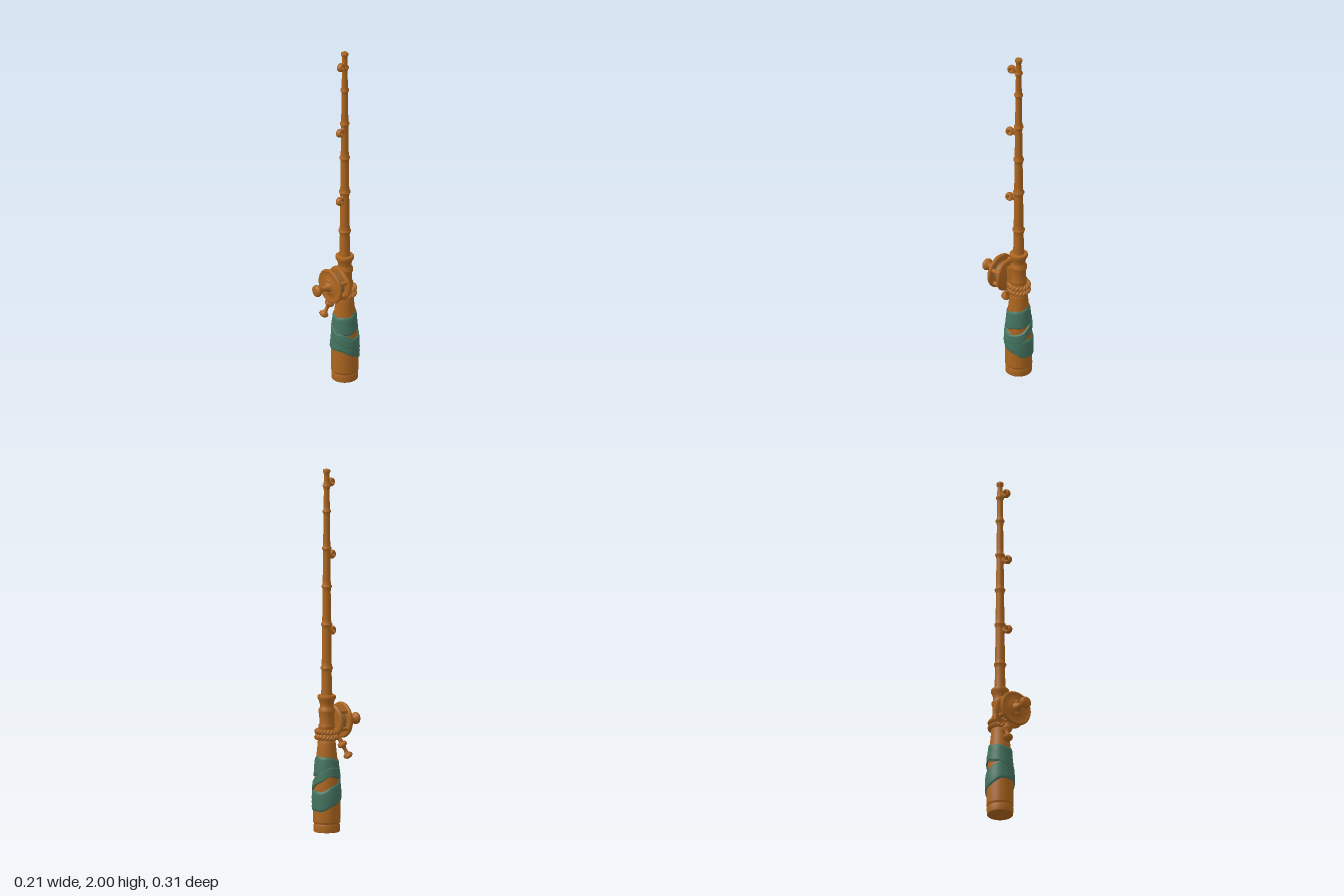
import * as THREE from 'three';

const AXIS_X = 0.008, AXIS_Z = -0.073;

export function createModel() {
  const wood = new THREE.MeshStandardMaterial({ color: 0xac651f });
  wood.name = 'warm wood';
  const cloth = new THREE.MeshStandardMaterial({ color: 0x44735f });
  cloth.name = 'green cloth';
  const line = new THREE.MeshStandardMaterial({ color: 0x8a6840 });
  line.name = 'line';

  const model = new THREE.Group();
  model.name = 'fishingRod';
  const rod = new THREE.Group();
  rod.name = 'rod';
  rod.position.set(AXIS_X, 0, AXIS_Z);
  model.add(rod);

  const add = (parent, name, geo, mat = wood, pos = [0, 0, 0]) => {
    const m = new THREE.Mesh(geo, mat);
    m.name = name;
    m.position.set(...pos);
    parent.add(m);
    return m;
  };
  const lathe = (pts, seg = 32) =>
    new THREE.LatheGeometry(pts.map(([r, y]) => new THREE.Vector2(r, y)), seg);

  // Handle: stepped butt, swelling grip, taper to the reel seat
  const grip = [[0.074, 0.06], [0.075, 0.2], [0.061, 0.38], [0.05, 0.48], [0.046, 0.55]];
  add(rod, 'handle', lathe([[0, 0], [0.069, 0], [0.072, 0.003], [0.073, 0.038], [0.069, 0.043],
    [0.069, 0.048], [0.075, 0.054], ...grip, [0, 0.55]]));
  const gripRadius = (y) => {
    for (let i = 1; i < grip.length; i++) {
      const [r0, y0] = grip[i - 1], [r1, y1] = grip[i];
      if (y <= y1) return THREE.MathUtils.lerp(r0, r1, Math.max(0, (y - y0) / (y1 - y0)));
    }
    return 0.046;
  };

  // Reel seat with collars
  add(rod, 'reelSeat', lathe([[0, 0.53], [0.043, 0.53], [0.041, 0.57], [0.046, 0.575], [0.046, 0.59],
    [0.04, 0.597], [0.041, 0.65], [0.046, 0.66], [0.046, 0.675], [0.038, 0.685], [0.037, 0.7],
    [0.043, 0.725], [0.05, 0.735], [0.05, 0.75], [0.046, 0.754], [0, 0.756]]));

  // Bamboo shaft with a raised ridge at each node
  const shaftRadius = (y) => THREE.MathUtils.lerp(0.03, 0.0155, (y - 0.75) / 1.25);
  const shaft = [[0.033, 0.74], [0.03, 0.77]];
  for (const y of [0.905, 1.145, 1.355, 1.565, 1.77, 1.91]) {
    const r = shaftRadius(y);
    shaft.push([r - 0.001, y - 0.03], [r + 0.001, y - 0.012], [r + 0.006, y - 0.005],
      [r + 0.006, y + 0.003], [r, y + 0.008], [r - 0.001, y + 0.03]);
  }
  shaft.push([0.014, 1.965], [0.015, 1.975], [0.02, 1.985], [0.02, 1.996], [0.016, 2], [0, 2]);
  add(rod, 'shaft', lathe(shaft, 20));

  // Cloth bands: rings bent to follow a wavy height and the grip's girth
  const band = (height, half, lift) => {
    const prof = [[0, -1]];
    for (let i = 0; i <= 8; i++) {
      const t = -0.92 + i * 0.23;
      prof.push([lift + (i % 2 ? 0.0015 : 0), t]);
    }
    prof.push([0, 1]);
    const geo = lathe(prof.map(([r, t]) => [1 + r, t]), 64);
    const p = geo.attributes.position;
    for (let i = 0; i < p.count; i++) {
      const a = Math.atan2(p.getX(i), p.getZ(i));
      const off = Math.hypot(p.getX(i), p.getZ(i)) - 1;
      const y = height(a) + half * p.getY(i) + 0.003 * Math.sin(5 * a);
      const r = gripRadius(y) - 0.001 + off;
      p.setXYZ(i, r * Math.sin(a), y, r * Math.cos(a));
    }
    geo.computeVertexNormals();
    return geo;
  };
  const wraps = [
    [(a) => 0.21 + 0.038 * Math.cos(a) - 0.01 * Math.sin(a), 0.056, 0.007],
    [(a) => 0.352 - 0.014 * Math.cos(a), 0.054, 0.006],
    [(a) => 0.285 - 0.05 * Math.sin(a + 0.3), 0.026, 0.0085],
  ];
  wraps.forEach(([h, half, lift], i) => add(rod, 'clothWrap' + (i + 1), band(h, half, lift), cloth));

  // Twisted rope binding under the reel seat
  class Strand extends THREE.Curve {
    constructor(y, phase) { super(); this.y = y; this.phase = phase; }
    getPoint(t, out = new THREE.Vector3()) {
      const a = t * Math.PI * 2, w = a * 9 + this.phase;
      const r = 0.054 + 0.006 * Math.cos(w);
      return out.set(r * Math.sin(a), this.y + 0.007 * Math.sin(w), r * Math.cos(a));
    }
  }
  for (const y of [0.522, 0.553])
    for (const phase of [0, Math.PI])
      add(rod, 'ropeStrand', new THREE.TubeGeometry(new Strand(y, phase), 110, 0.0085, 7, true));

  // Line guides along the front of the shaft
  for (const [y, z] of [[1.105, 0.052], [1.525, 0.05], [1.925, 0.04]]) {
    const ring = new THREE.TorusGeometry(0.0155, 0.0095, 10, 24);
    ring.scale(1, 1, 1.6);
    ring.rotateY(Math.PI / 2);
    add(rod, 'lineGuide', ring, wood, [0, y, z]);
    const foot = new THREE.SphereGeometry(0.011, 12, 8);
    foot.scale(1.1, 1.9, 1);
    add(rod, 'guideFoot', foot, wood, [0, y, shaftRadius(y) - 0.001]);
  }

  // Reel, turned toward the right; its own axis is local z
  const reel = new THREE.Group();
  reel.name = 'reel';
  reel.position.set(-0.012, 0.605, 0.042);
  reel.rotation.y = -0.37;
  model.add(reel);
  const turned = (pts, seg) => lathe(pts, seg).rotateX(Math.PI / 2);

  add(reel, 'frontPlate', turned([[0, -0.01], [0.09, -0.01], [0.097, -0.006], [0.099, 0.002],
    [0.095, 0.01], [0.084, 0.011], [0.078, 0.004], [0.05, 0.006], [0.046, 0.013], [0.03, 0.015],
    [0, 0.016]], 40));
  add(reel, 'spool', turned([[0, -0.058], [0.062, -0.055], [0.058, -0.04], [0.058, -0.02],
    [0.062, -0.008], [0, -0.008]]), line);
  const back = turned([[0, -0.072], [0.084, -0.072], [0.094, -0.068], [0.098, -0.06],
    [0.093, -0.051], [0.08, -0.05], [0, -0.052]], 40);
  // Gentle warp of the hand-carved back plate
  const bp = back.attributes.position;
  for (let i = 0; i < bp.count; i++)
    bp.setZ(i, bp.getZ(i) + 0.006 * Math.sin(bp.getX(i) * 38));
  back.computeVertexNormals();
  add(reel, 'backPlate', back);
  for (const a of [0.45, 2.4, 3.7, 5.6])
    add(reel, 'spacerPost', new THREE.CylinderGeometry(0.012, 0.012, 0.056, 12).rotateX(Math.PI / 2),
      wood, [0.079 * Math.cos(a), 0.079 * Math.sin(a), -0.032]);

  // Winding knob and crossbar on the front plate
  add(reel, 'crankBar', new THREE.CapsuleGeometry(0.011, 0.07, 4, 12), wood, [0, 0, 0.011]);
  add(reel, 'crankKnob', turned([[0, 0.005], [0.032, 0.01], [0.028, 0.02], [0.017, 0.032],
    [0.015, 0.06], [0.02, 0.074], [0.031, 0.083], [0.034, 0.092], [0.031, 0.103], [0.02, 0.109],
    [0, 0.111]], 24));

  // Foot joining the reel to the seat
  add(model, 'reelFoot', new THREE.BoxGeometry(0.055, 0.11, 0.05), wood, [0.008, 0.61, -0.035]);

  // Small lever below the reel: knobbed stem hung from a bracket
  const lever = new THREE.Group();
  lever.name = 'lever';
  lever.position.set(-0.043, 0.475, 0.004);
  lever.rotation.set(-0.37, 0, -0.32);
  model.add(lever);
  add(lever, 'leverStem', lathe([[0, -0.084], [0.016, -0.082], [0.026, -0.074], [0.026, -0.064],
    [0.013, -0.052], [0.009, -0.035], [0.012, -0.016], [0.024, -0.008], [0.027, 0.002],
    [0.022, 0.013], [0, 0.017]], 20));
  const arm = new THREE.CatmullRomCurve3([new THREE.Vector3(0, 0.53, -0.03),
    new THREE.Vector3(-0.025, 0.51, -0.005), new THREE.Vector3(-0.042, 0.48, 0.002)]);
  add(model, 'leverArm', new THREE.TubeGeometry(arm, 12, 0.012, 10));

  return model;
}
